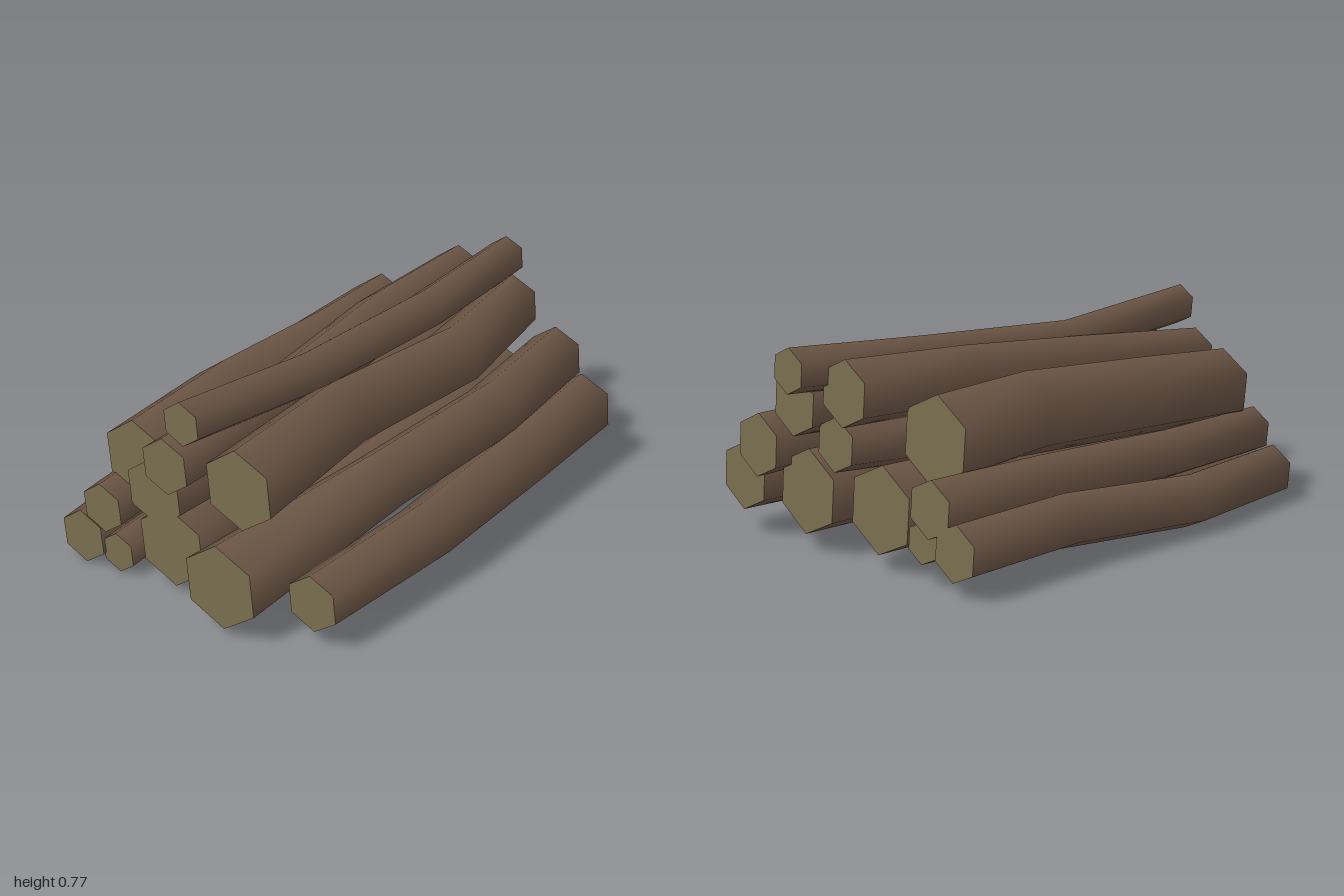
import * as THREE from 'three';

const SIDES = 6;
const TURN = 0.09; // slight roll of every log about its length
const bark = new THREE.MeshStandardMaterial({ color: 0x6a5444 });
const cutWood = new THREE.MeshStandardMaterial({ color: 0x786e4e });

// Each log: start and end as [x, y, z, radius]; crooked logs add two bends as [y, z]
const BOTTOM_ROW = [
  { start: [-0.875, 0.162, 0.483, 0.104], end: [0.845, 0.22, 0.535, 0.129], bends: [[0.18, 0.54], [0.2, 0.54]] },
  { start: [-0.66, 0.2, 0.19, 0.15], end: [0.83, 0.22, 0.2, 0.157] },
  { start: [-0.88, 0.18, -0.11, 0.151], end: [0.815, 0.22, -0.165, 0.16] },
  { start: [-0.89, 0.08, -0.352, 0.075], end: [0.83, 0.155, -0.388, 0.075] },
  { start: [-0.905, 0.105, -0.5, 0.102], end: [0.84, 0.155, -0.55, 0.101], bends: [[0.11, -0.57], [0.155, -0.533]] },
];
const MIDDLE_ROW = [
  { start: [-1, 0.185, 0.197, 0.155], end: [0.905, 0.37, 0.375, 0.117], bends: [[0.355, 0.388], [0.365, 0.425]], waist: 0.117 },
  { start: [-0.88, 0.37, -0.18, 0.125], end: [0.86, 0.425, 0.008, 0.099] },
  { start: [-0.81, 0.43, -0.315, 0.145], end: [0.69, 0.46, -0.302, 0.163], bends: [[0.46, -0.315], [0.475, -0.268]] },
  { start: [-0.905, 0.25, -0.4, 0.093], end: [0.84, 0.28, -0.435, 0.103], bends: [[0.26, -0.445], [0.27, -0.418]] },
];
const TOP_ROW = [
  { start: [-0.905, 0.51, 0.21, 0.145], end: [0.9, 0.547, 0.173, 0.115], bends: [[0.515, 0.16], [0.52, 0.232]] },
  { start: [-0.915, 0.51, -0.095, 0.104], end: [0.885, 0.617, -0.07, 0.119], bends: [[0.55, -0.055], [0.6, -0.087]] },
  { start: [-0.925, 0.698, -0.007, 0.079], end: [1, 0.69, 0.077, 0.081], bends: [[0.632, 0.012], [0.655, 0.072]] },
];
const BEND_AT = [0.34, 0.7]; // where the bends fall along a log

// All cross-sections of a log; radius tapers evenly unless a waist is given
function logSections({ start, end, bends = [], waist }) {
  const middle = bends.map(([y, z], i) => {
    const t = BEND_AT[i];
    return [
      THREE.MathUtils.lerp(start[0], end[0], t), y, z,
      waist ?? THREE.MathUtils.lerp(start[3], end[3], t),
    ];
  });
  return [start, ...middle, end];
}

// Bent six-sided tube through the sections, smooth around its sides
function barkGeometry(sections) {
  const positions = [], indices = [];
  sections.forEach(([x, y, z, r], i) => {
    for (let j = 0; j < SIDES; j++) {
      const t = (j / SIDES) * Math.PI * 2 - TURN;
      positions.push(x, y + r * Math.cos(t), z + r * Math.sin(t));
      if (i === sections.length - 1) continue;
      const a = i * SIDES + j, b = i * SIDES + (j + 1) % SIDES;
      indices.push(a, b, a + SIDES, b, b + SIDES, a + SIDES);
    }
  });
  const geometry = new THREE.BufferGeometry();
  geometry.setAttribute('position', new THREE.Float32BufferAttribute(positions, 3));
  geometry.setIndex(indices);
  geometry.computeVertexNormals();
  return geometry;
}

// Flat sawn face closing one end
function cutEnd([x, y, z, r], facing) {
  const geometry = new THREE.CircleGeometry(r, SIDES, Math.PI / 2 - facing * TURN);
  geometry.rotateY(facing * Math.PI / 2);
  const mesh = new THREE.Mesh(geometry, cutWood);
  mesh.position.set(x, y, z);
  mesh.name = facing > 0 ? 'leftCutEnd' : 'rightCutEnd';
  return mesh;
}

function buildRow(name, logs) {
  const row = new THREE.Group();
  row.name = name;
  logs.forEach((spec, i) => {
    const log = new THREE.Group();
    log.name = `log${i + 1}`;
    const side = new THREE.Mesh(barkGeometry(logSections(spec)), bark);
    side.name = 'bark';
    log.add(side, cutEnd(spec.start, -1), cutEnd(spec.end, 1));
    row.add(log);
  });
  return row;
}

export function createModel() {
  const pile = new THREE.Group();
  pile.name = 'logPile';
  pile.add(
    buildRow('bottomRow', BOTTOM_ROW),
    buildRow('middleRow', MIDDLE_ROW),
    buildRow('topRow', TOP_ROW),
  );
  return pile;
}
